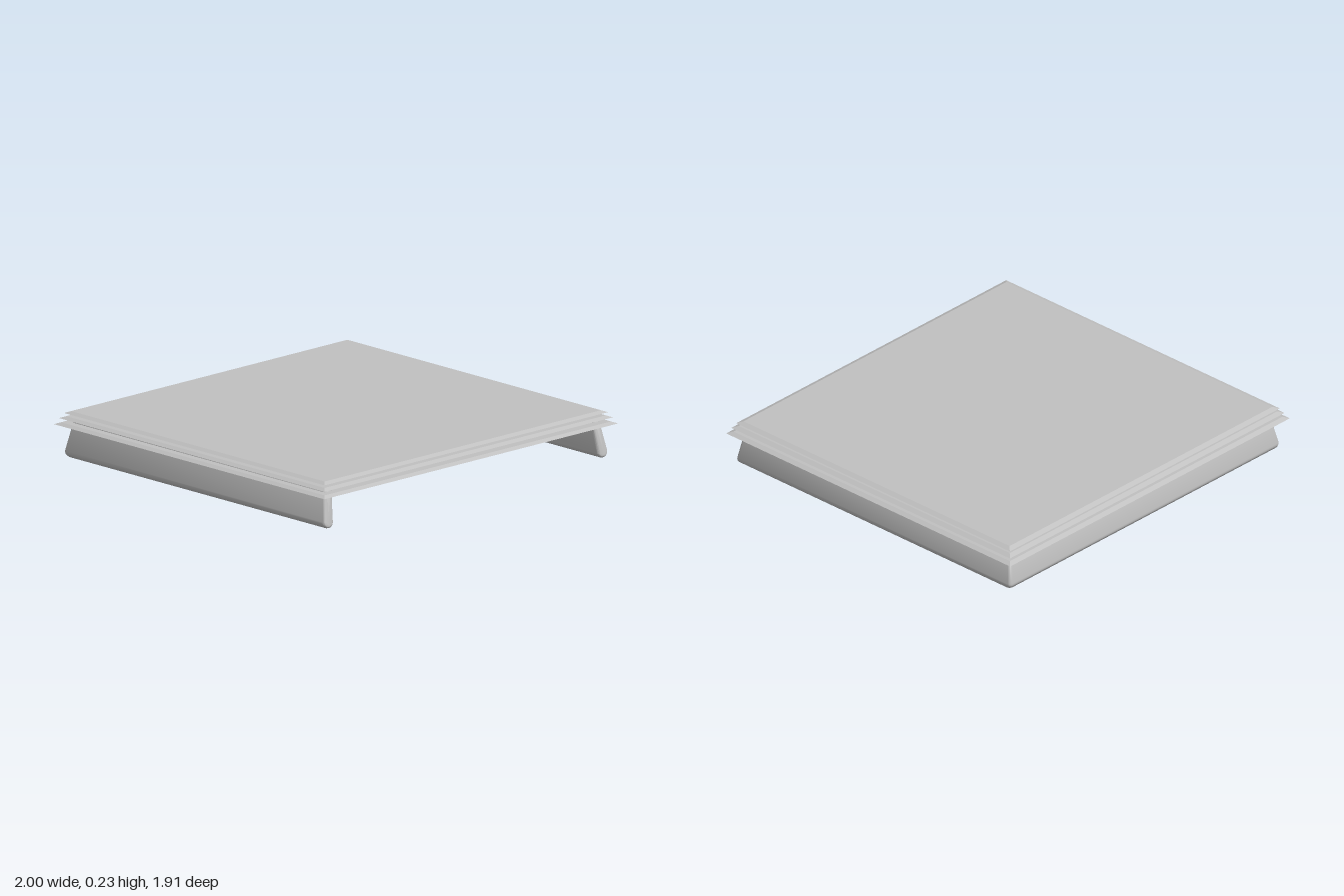
import * as THREE from 'three';
import { toCreasedNormals } from 'three/addons/utils/BufferGeometryUtils.js';

// Thin slab whose top face is drawn in to give a sloping rim
function slab(halfX, halfZ, y, height, inset) {
  const geo = new THREE.BoxGeometry(halfX * 2, height, halfZ * 2);
  const p = geo.attributes.position;
  for (let i = 0; i < p.count; i++) {
    if (p.getY(i) > 0) {
      p.setX(i, Math.sign(p.getX(i)) * (halfX - inset));
      p.setZ(i, Math.sign(p.getZ(i)) * (halfZ - inset));
    }
  }
  geo.translate(0, y + height / 2, 0);
  geo.computeVertexNormals();
  return geo;
}

// Leaning wall section with rounded corners: [outward distance, height]
function wallSection(inset = 0) {
  const steps = 6, points = [];
  const corners = [ // centre, radius, start and end angle
    [0.937, 0.03, 0.03, -90, 10],
    [0.918, 0.178, 0.02, 10, 90],
    [0.905, 0.178, 0.02, 90, 190],
    [0.93, 0.03, 0.03, 190, 270],
  ];
  for (const [cx, cy, r, from, to] of corners) {
    for (let i = 0; i <= steps; i++) {
      const a = THREE.MathUtils.degToRad(from + (to - from) * i / steps);
      points.push([cx + (r - inset) * Math.cos(a), cy + (r - inset) * Math.sin(a)]);
    }
  }
  return points;
}

// U-shaped wall swept along the left side, the back and the right side
function wallGeometry() {
  const half = [];
  // Rounded, leaning front end
  const e = 0.015;
  for (let i = 0; i <= 4; i++) {
    const t = i / 4 * Math.PI / 2;
    half.push(wallSection(e * (1 - Math.sin(t))).map(([o, y]) =>
      [o, y, 0.925 - 0.17 * y - e * (1 - Math.cos(t))]));
  }
  // Slightly rounded back corner
  const r = 0.02;
  for (let i = 0; i <= 5; i++) {
    const a = i / 5 * Math.PI / 2;
    half.push(wallSection().map(([o, y]) =>
      [o - r + r * Math.cos(a), y, -(o - 0.045 - r + r * Math.sin(a))]));
  }
  const mirrored = half.map(ring => ring.map(([x, y, z]) => [-x, y, z])).reverse();
  const rings = [...half, ...mirrored];
  const n = rings[0].length, positions = rings.flat(2), index = [];
  for (let i = 0; i < rings.length - 1; i++) {
    for (let j = 0; j < n; j++) {
      const k = (j + 1) % n;
      const a = i * n + j, b = i * n + k, c = a + n, d = b + n;
      index.push(a, c, b, b, c, d);
    }
  }
  // End caps
  const last = (rings.length - 1) * n;
  for (let j = 1; j < n - 1; j++) {
    index.push(0, j, j + 1, last, last + j + 1, last + j);
  }
  const geo = new THREE.BufferGeometry();
  geo.setAttribute('position', new THREE.Float32BufferAttribute(positions, 3));
  geo.setIndex(index);
  return toCreasedNormals(geo, 0.7);
}

export function createModel() {
  const group = new THREE.Group();
  group.name = 'steppedTray';
  const grey = new THREE.MeshStandardMaterial({ color: 0xc0c0c0 });
  grey.name = 'light grey';

  const add = (name, geo) => {
    const mesh = new THREE.Mesh(geo, grey);
    mesh.name = name;
    group.add(mesh);
  };

  add('baseWall', wallGeometry());

  // Three spaced slabs, each smaller than the one below
  add('lowerSlab', slab(1, 0.955, 0.168, 0.01, 0.025));
  add('middleSlab', slab(0.982, 0.937, 0.199, 0.01, 0.025));
  add('topSlab', slab(0.965, 0.92, 0.225, 0.01, 0.025));
  return group;
}
